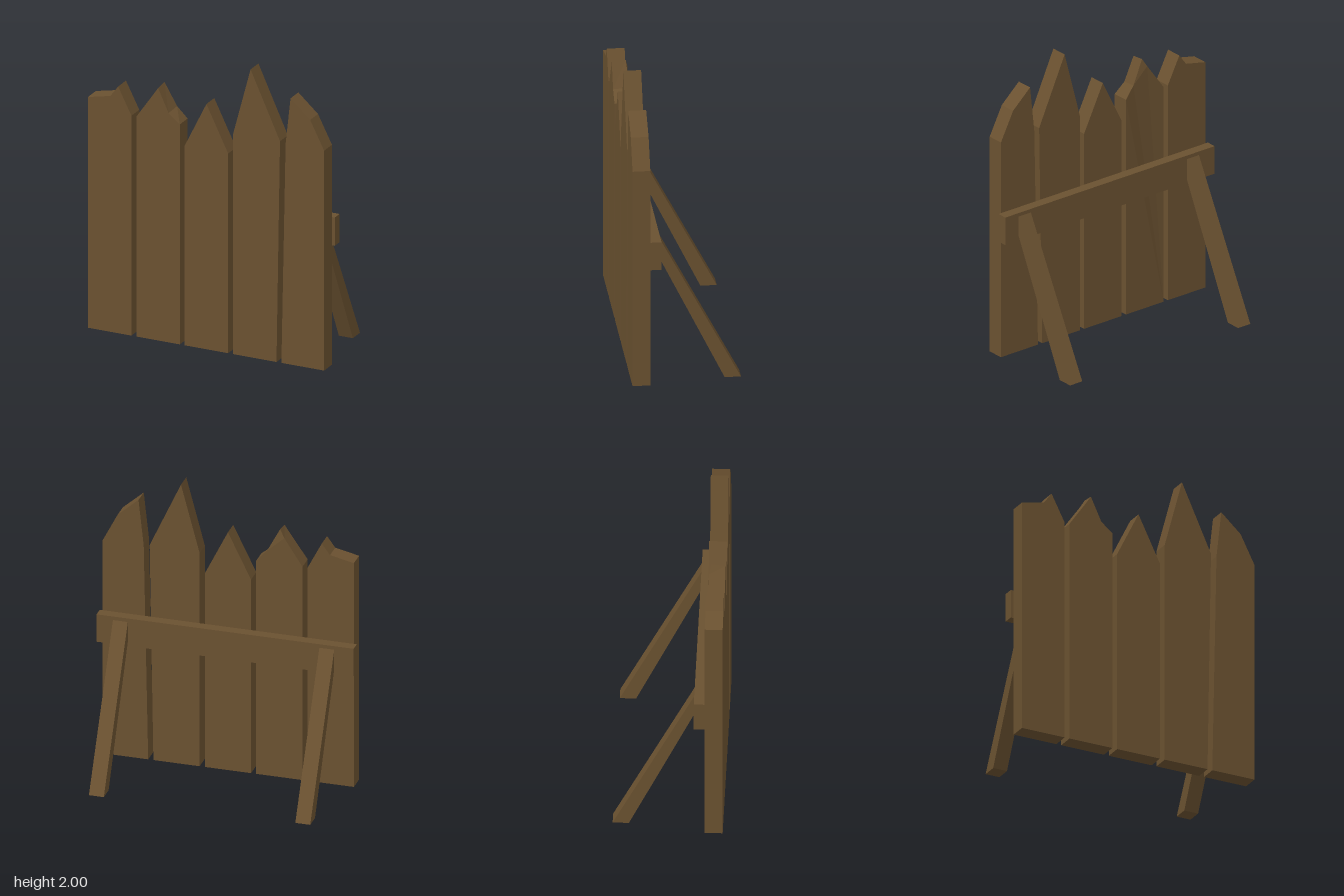
import * as THREE from 'three';

export function createModel() {
  const fence = new THREE.Group();
  fence.name = 'fence';
  const wood = new THREE.MeshStandardMaterial({ color: 0x6a5130 });
  wood.name = 'brown wood';

  const add = (name, geometry) => {
    const mesh = new THREE.Mesh(geometry, wood);
    mesh.name = name;
    fence.add(mesh);
    return mesh;
  };
  const extrude = (points, depth) => new THREE.ExtrudeGeometry(
    new THREE.Shape(points.map(([x, y]) => new THREE.Vector2(x, y))),
    { depth, bevelEnabled: false });

  // Upright planks with uneven, broken tips (outlines run counter-clockwise)
  const base = 0.01, back = 0.24, thickness = 0.115;
  const outlines = [
    [[-0.845, base], [-0.535, base], [-0.535, 1.53], [-0.63, 1.715], [-0.685, 1.64], [-0.845, 1.605]],
    [[-0.5, base], [-0.19, base], [-0.19, 1.53], [-0.27, 1.595], [-0.345, 1.755], [-0.375, 1.71], [-0.5, 1.53]],
    [[-0.155, base], [0.155, base], [0.155, 1.39], [0, 1.705], [-0.155, 1.39]],
    [[0.19, base], [0.5, base], [0.525, 1.54], [0.315, 2], [0.19, 1.53]],
    [[0.535, base], [0.84, base], [0.84, 1.53], [0.74, 1.725], [0.6, 1.85], [0.565, 1.53]],
  ];
  const planks = outlines.map((outline, i) => {
    const plank = add(`plank${i + 1}`, extrude(outline, thickness));
    plank.position.z = back;
    return plank;
  });

  // Chipped back face on the second plank: its rear tip leans forward
  const chipped = planks[1].geometry, p = chipped.attributes.position;
  for (let i = 0; i < p.count; i++) {
    if (p.getZ(i) > 0.01 || p.getY(i) < 1.55) continue;
    if (p.getY(i) > 1.73) p.setXYZ(i, -0.343, 1.765, 0.025);
    else if (p.getX(i) > -0.3) p.setXYZ(i, -0.26, 1.607, 0.01);
    else p.setZ(i, 0.012);
  }
  chipped.computeVertexNormals();

  // Cross rail behind the planks
  add('rail', new THREE.BoxGeometry(1.725, 0.195, 0.07)).position.set(-0.0025, 0.9325, 0.205);

  // Slanted rear props, cut flush with the rail and the ground
  const profile = [[-0.17, 0.865], [0.25, 0], [0.355, 0], [-0.17, 1.005]];
  [['rightProp', -0.735], ['leftProp', 0.65]].forEach(([name, x]) => {
    add(name, extrude(profile, 0.1).rotateY(Math.PI / 2)).position.x = x;
  });

  return fence;
}
